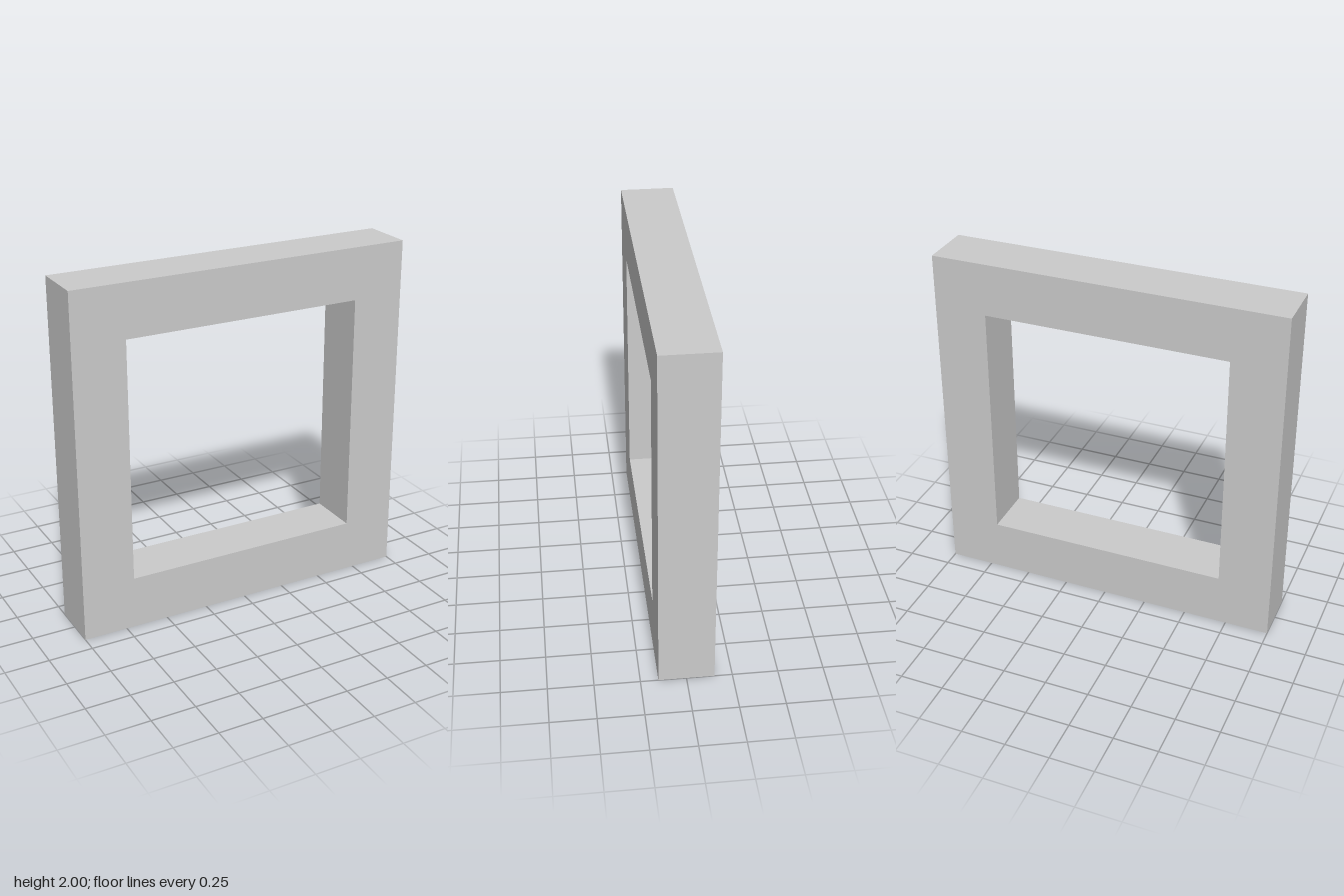
import * as THREE from 'three';

const SIZE = 2, BORDER = 0.303, DEPTH = 0.305;

// Trace a square centred on the origin into a shape or a hole path
function traceSquare(path, half) {
  path.moveTo(-half, -half);
  path.lineTo(half, -half);
  path.lineTo(half, half);
  path.lineTo(-half, half);
  path.closePath();
  return path;
}

export function createModel() {
  const group = new THREE.Group();
  group.name = 'squareFrame';

  // Square slab with a square opening through it
  const outline = traceSquare(new THREE.Shape(), SIZE / 2);
  outline.holes.push(traceSquare(new THREE.Path(), SIZE / 2 - BORDER));
  const geometry = new THREE.ExtrudeGeometry(outline, { depth: DEPTH, bevelEnabled: false });
  geometry.translate(0, SIZE / 2, -DEPTH / 2);

  const material = new THREE.MeshStandardMaterial({ color: 0xcccccc, flatShading: true });
  const frame = new THREE.Mesh(geometry, material);
  frame.name = 'frame';
  group.add(frame);
  return group;
}
